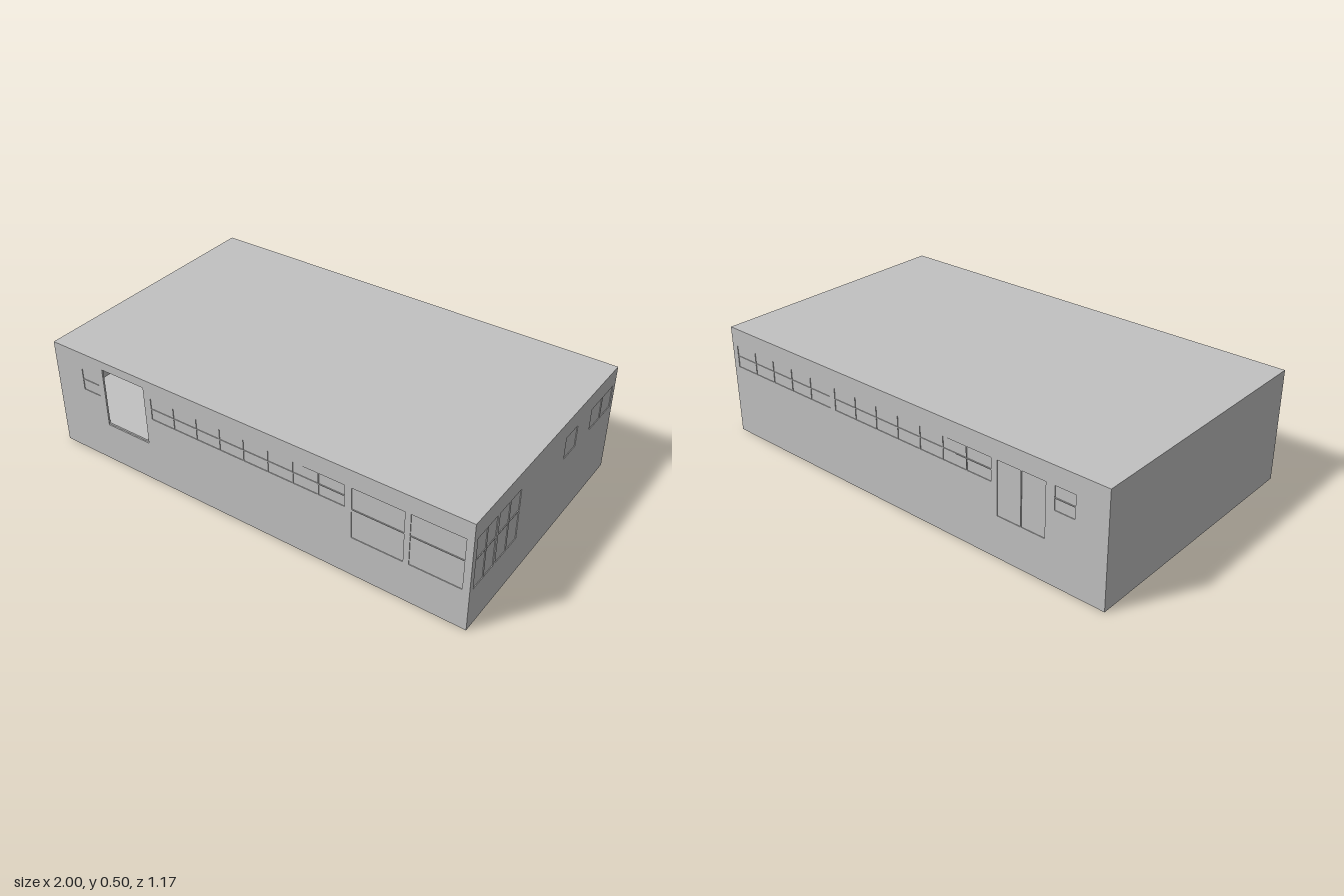
import * as THREE from 'three';

const W = 2, D = 1.17, H = 0.5, T = 0.008, FLOOR = 0.195;
const SILL = 0.185, MID = 0.32, HEAD = 0.42, BAR = 0.004;

export function createModel() {
  const model = new THREE.Group();
  const grey = new THREE.MeshStandardMaterial({ color: 0xc1c1c1 });
  grey.name = 'concreteGrey';

  const box = (parent, name, w, h, d, x, y, z) => {
    const mesh = new THREE.Mesh(new THREE.BoxGeometry(w, h, d), grey);
    mesh.name = name;
    mesh.position.set(x, y, z);
    parent.add(mesh);
  };

  // Wall drawn in its own plane: u to the right, y up, outer face at z = 0.
  // Each opening: [u0, u1, y0, y1, columns, transom heights], or no columns if left open.
  const wall = (name, length, openings) => {
    const group = new THREE.Group();
    group.name = name;
    const rect = (path, a, b, c, d) =>
      path.moveTo(a, c).lineTo(b, c).lineTo(b, d).lineTo(a, d).lineTo(a, c);
    const shape = rect(new THREE.Shape(), -length / 2, length / 2, 0, H);
    for (const [a, b, c, d] of openings) shape.holes.push(rect(new THREE.Path(), a, b, c, d));
    const shell = new THREE.Mesh(
      new THREE.ExtrudeGeometry(shape, { depth: T, bevelEnabled: false }).translate(0, 0, -T), grey);
    shell.name = name + 'Panel';
    group.add(shell);

    // Slightly recessed panes with bars level with the wall face
    for (const [a, b, c, d, columns, transoms = []] of openings) {
      if (!columns) continue;
      const u = (a + b) / 2, y = (c + d) / 2;
      box(group, 'windowPane', b - a, d - c, 0.003, u, y, -0.0045);
      for (let i = 1; i < columns; i++) {
        box(group, 'mullion', BAR, d - c, 0.004, a + (b - a) * i / columns, y, -0.002);
      }
      for (const t of transoms) box(group, 'transom', b - a, BAR, 0.004, u, t, -0.002);
    }
    model.add(group);
    return group;
  };

  // Front: open doorway, ribbon window and tall corner windows
  const front = wall('frontWall', W, [
    [-0.85, -0.76, MID, HEAD, 1, [0.37]],
    [-0.73, -0.505, SILL, 0.46, 0],
    [-0.47, 0.47, MID, HEAD, 8, [0.37]],
    [0.5, 0.725, SILL, HEAD, 1, [MID]],
    [0.75, 0.97, SILL, HEAD, 1, [MID]],
  ]);
  front.position.z = D / 2;

  // Back: ribbon window, door and small window (u = -x)
  const back = wall('backWall', W, [
    [-0.97, -0.38, MID, HEAD, 5, [0.37]],
    [-0.35, 0.48, MID, HEAD, 7, [0.37]],
    [0.51, 0.73, SILL, HEAD, 2],
    [0.77, 0.86, MID, HEAD, 1, [0.37]],
  ]);
  back.position.z = -D / 2;
  back.rotation.y = Math.PI;

  // Left side: tall corner windows and small high windows (u = -z)
  const left = wall('leftWall', D, [
    [-0.56, -0.415, SILL, HEAD, 2, [MID]],
    [-0.4, -0.24, SILL, HEAD, 2, [MID]],
    [0.13, 0.23, MID, HEAD, 1],
    [0.36, 0.56, MID, HEAD, 2],
  ]);
  left.position.x = W / 2;
  left.rotation.y = Math.PI / 2;

  // Right side: blank
  const right = wall('rightWall', D, []);
  right.position.x = -W / 2;
  right.rotation.y = -Math.PI / 2;

  // Roof and raised floor; the underside stays open
  box(model, 'roof', W, T, D, 0, H - T / 2, 0);
  box(model, 'floor', W - T, T, D - T, 0, FLOOR - T / 2, 0);

  // Row of interior columns reaching just through the floor
  const columnShape = new THREE.CylinderGeometry(0.018, 0.018, H - SILL - T, 12);
  for (let i = -3; i <= 3; i++) {
    const column = new THREE.Mesh(columnShape, grey);
    column.name = 'column';
    column.position.set(i * 0.25, (H - T + SILL) / 2, 0);
    model.add(column);
  }
  return model;
}
